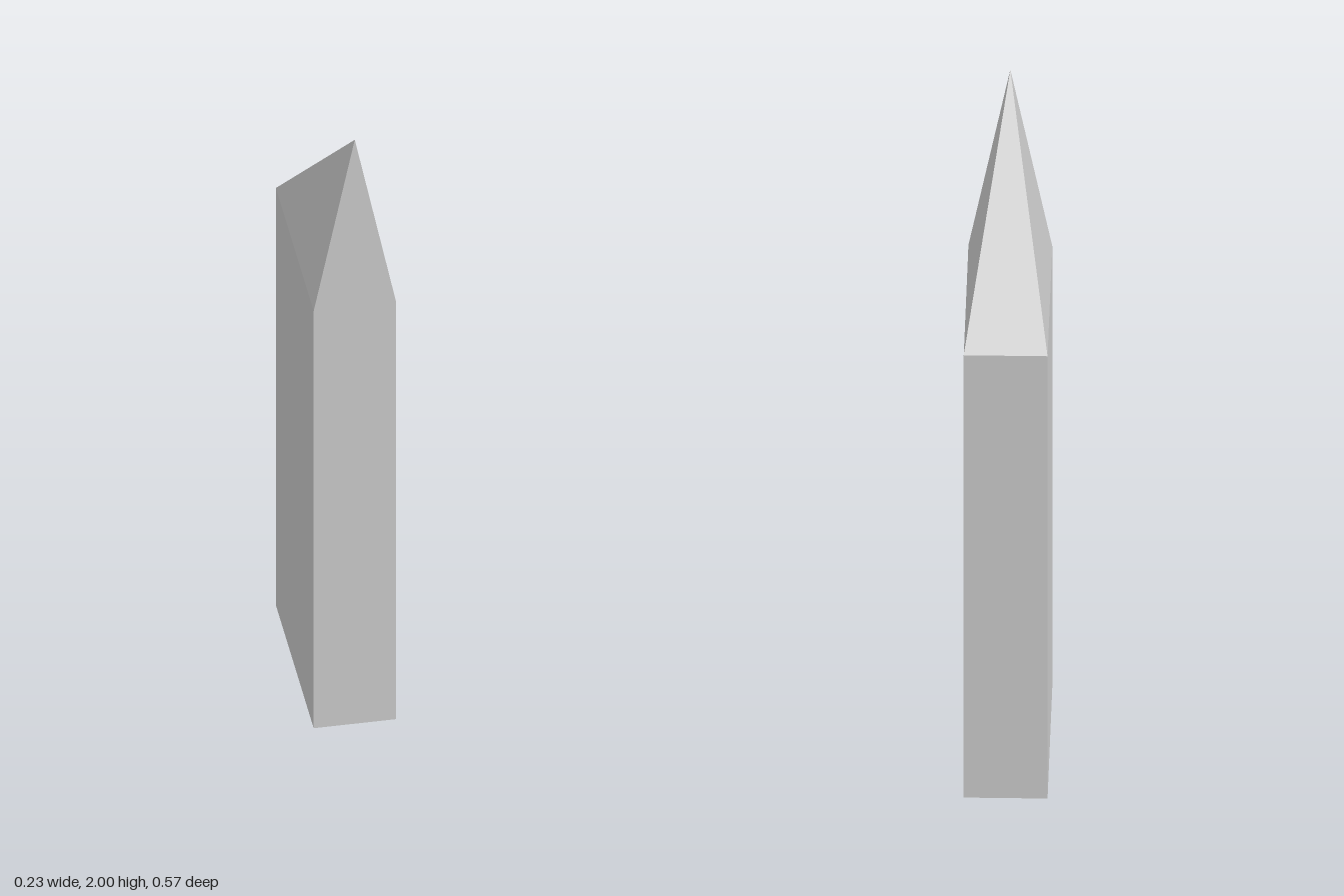
import * as THREE from 'three';

const WIDTH = 0.23, DEPTH = 0.573, SHAFT = 1.43, TIP = 0.57;

export function createModel() {
  const model = new THREE.Group();
  const material = new THREE.MeshStandardMaterial({ color: 0xcccccc, flatShading: true });

  // Rectangular shaft
  const shaft = new THREE.Mesh(new THREE.BoxGeometry(WIDTH, SHAFT, DEPTH), material);
  shaft.name = 'shaft';
  shaft.position.y = SHAFT / 2;
  model.add(shaft);

  // Four-sided point, sheared so its apex stands over the front edge
  const cone = new THREE.ConeGeometry(Math.SQRT1_2, 1, 4, 1, true, Math.PI / 4);
  cone.translate(0, 0.5, 0).scale(WIDTH, TIP, DEPTH);
  const lean = (DEPTH / 2 - 0.002) / TIP;
  cone.applyMatrix4(new THREE.Matrix4().makeShear(0, 0, 0, lean, 0, 0));
  const pos = cone.attributes.position;
  // Guarantee the lean runs along +z only
  for (let i = 0; i < pos.count; i++) {
    const atApex = pos.getY(i) > TIP / 2;
    const side = Math.sign(pos.getZ(i));
    pos.setXYZ(i, atApex ? 0 : pos.getX(i), pos.getY(i), atApex ? lean * TIP : side * DEPTH / 2);
  }
  const pointGeometry = cone.toNonIndexed();
  pointGeometry.computeVertexNormals();
  const point = new THREE.Mesh(pointGeometry, material);
  point.name = 'slantedPoint';
  point.position.y = SHAFT;
  model.add(point);

  return model;
}
